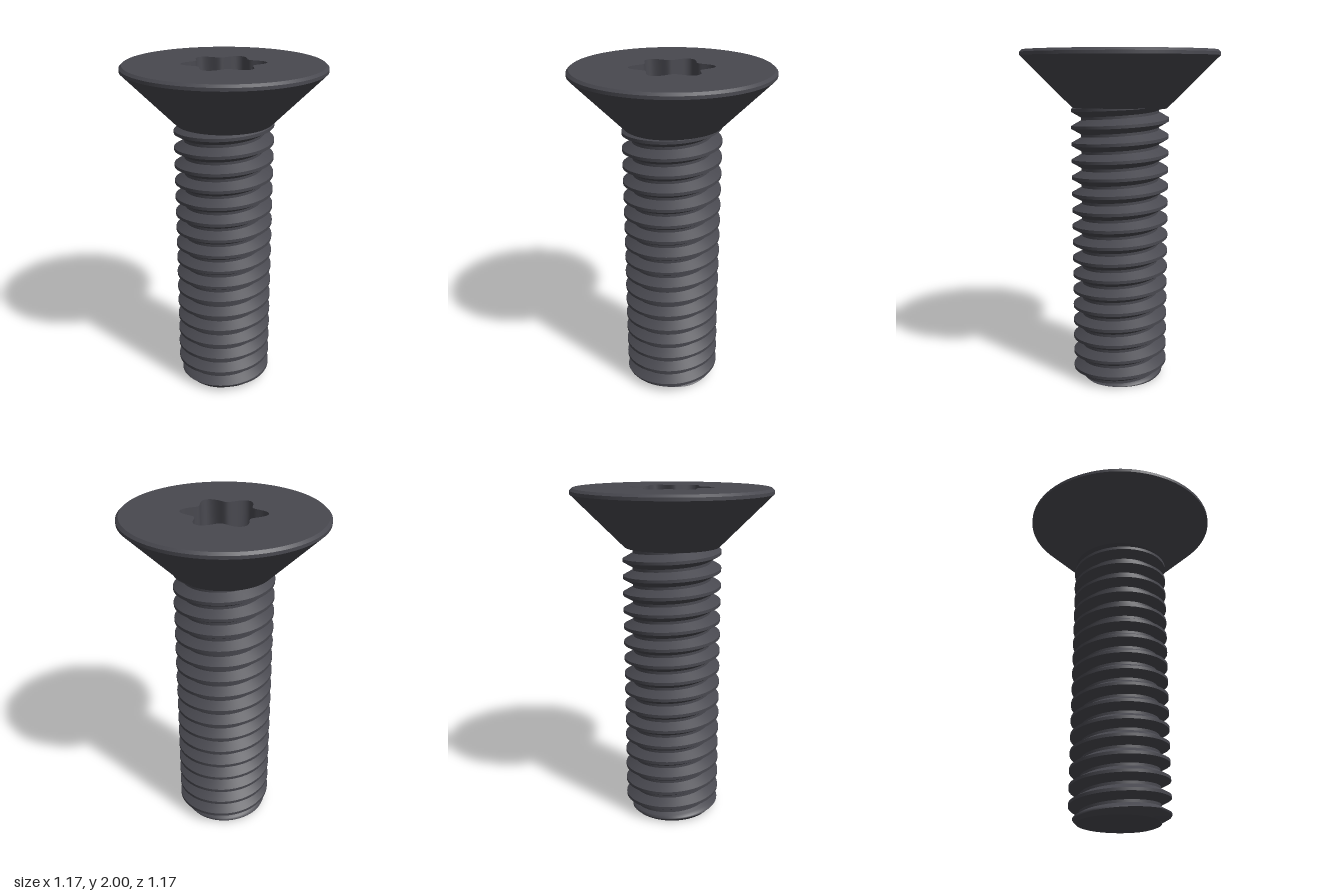
import * as THREE from 'three';
import { mergeGeometries } from 'three/addons/utils/BufferGeometryUtils.js';

const TAU = Math.PI * 2;
const PITCH = 0.1, CREST = 0.29, ROOT = 0.232;
const SHANK_TOP = 1.69, HEAD_BOTTOM = 1.665;

// Thread profile over one pitch, measured up from the crest centre: [height, radius]
const PROFILE = [[-0.009, CREST], [0.009, CREST], [0.042, ROOT], [0.058, ROOT], [0.091, CREST]];

// Smooth surface from a rule p(i, j); its front is (direction of i) x (direction of j)
function surface(ni, nj, p) {
  const positions = [], index = [];
  for (let i = 0; i <= ni; i++) {
    for (let j = 0; j <= nj; j++) {
      positions.push(...p(i, j));
      if (i < ni && j < nj) {
        const a = i * (nj + 1) + j, b = a + nj + 1;
        index.push(a, b, a + 1, b, b + 1, a + 1);
      }
    }
  }
  const g = new THREE.BufferGeometry();
  g.setAttribute('position', new THREE.Float32BufferAttribute(positions, 3));
  g.setIndex(index);
  g.computeVertexNormals();
  return g;
}

const polar = (r, t, y) => [r * Math.cos(t), y, -r * Math.sin(t)];

// Shank radius at angle t and height y, with a chamfered tip
function threadRadius(t, y) {
  let h = (y - 0.05 - PITCH * t / TAU) % PITCH;
  if (h < -0.009) h += PITCH;
  if (h > 0.091) h -= PITCH;
  let r = CREST;
  for (let k = 0; k < 4; k++) {
    const [h0, r0] = PROFILE[k], [h1, r1] = PROFILE[k + 1];
    if (h >= h0 && h <= h1) r = r0 + (r1 - r0) * (h - h0) / (h1 - h0);
  }
  return Math.min(r, 0.245 + y);
}

// Four helical ribbons: crest, upper flank, root, lower flank
function threadGeometry() {
  const perTurn = 72, turns = 19, sub = 3;
  const bands = PROFILE.slice(0, 4).map(([h0], k) => {
    const h1 = PROFILE[k + 1][0];
    return surface(perTurn * turns, sub, (i, j) => {
      const t = TAU * i / perTurn;
      const raw = 0.05 - 2 * PITCH + PITCH * t / TAU + h0 + (h1 - h0) * j / sub;
      const y = THREE.MathUtils.clamp(raw, 0, SHANK_TOP);
      return polar(threadRadius(t, y), t, y);
    });
  });
  return mergeGeometries(bands);
}

// Closed outline points for a radius rule
const outline = (radius, n = 144) => Array.from({ length: n }, (_, i) => {
  const t = TAU * i / n, r = radius(t);
  return new THREE.Vector2(r * Math.cos(t), r * Math.sin(t));
});

const lobeRadius = t => 0.209 + 0.034 * Math.cos(6 * t);

export function createModel() {
  const model = new THREE.Group();
  model.name = 'countersunkScrew';
  const steel = new THREE.MeshStandardMaterial({ color: 0x48484f });
  steel.name = 'darkSteel';
  const add = (name, geometry) => {
    const mesh = new THREE.Mesh(geometry, steel);
    mesh.name = name;
    model.add(mesh);
    return mesh;
  };

  // Threaded shank and its flat tip
  add('thread', threadGeometry());
  const tip = new THREE.Shape(outline(t => threadRadius(-t, 0)));
  add('tip', new THREE.ShapeGeometry(tip).rotateX(Math.PI / 2));

  // Countersunk head: underside, cone, rim and bevel, each with sharp edges
  const head = [[0.2, HEAD_BOTTOM], [0.28, HEAD_BOTTOM], [0.583, 1.968], [0.583, 1.986], [0.568, 2]]
    .map(([x, y]) => new THREE.Vector2(x, y));
  const rings = head.slice(1).map((p, i) => new THREE.LatheGeometry([head[i], p], 96));
  add('head', mergeGeometries(rings));

  // Flat top with a six-lobed opening
  const top = new THREE.Shape(outline(() => 0.568, 96));
  top.holes.push(new THREE.Path(outline(lobeRadius)));
  add('headTop', new THREE.ShapeGeometry(top).rotateX(-Math.PI / 2).translate(0, 2, 0));

  // Drive recess: slightly tapered wall and flat floor
  const floorY = 1.82, taper = 0.98;
  add('recessWall', surface(144, 1, (i, j) => {
    const t = TAU * i / 144;
    return polar(lobeRadius(t) * (j ? taper : 1), t, j ? floorY : 2);
  }));
  const floor = new THREE.Shape(outline(t => lobeRadius(t) * taper));
  add('recessFloor', new THREE.ShapeGeometry(floor).rotateX(-Math.PI / 2).translate(0, floorY, 0));

  return model;
}
